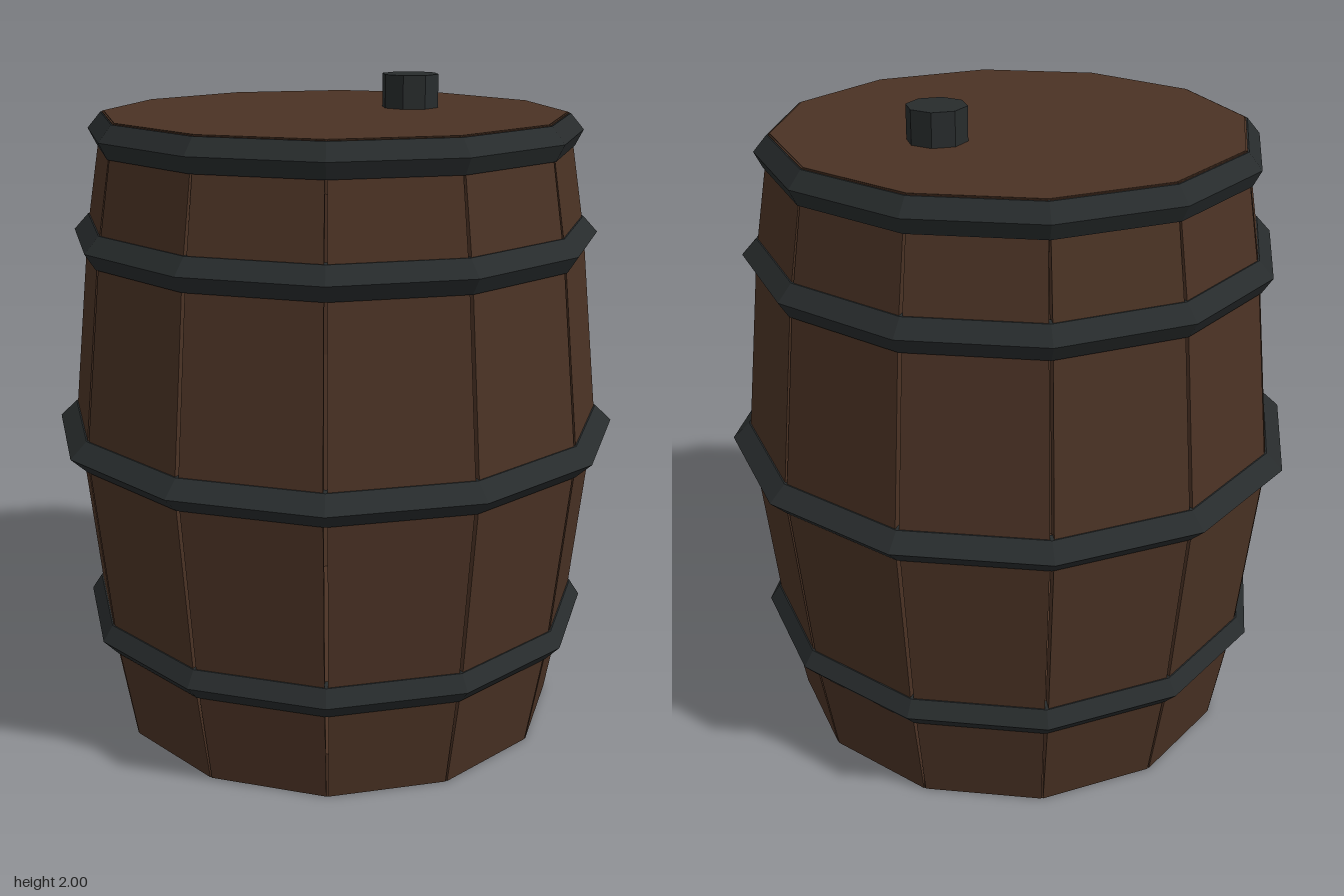
import * as THREE from 'three';

const SIDES = 12;
const HALF = Math.PI / SIDES;
// barrel profile: [height, corner radius, gap between staves]
const PROFILE = [[0.002, 0.7, 0.006], [0.34, 0.76, 0.011], [0.94, 0.823, 0.012], [1.54, 0.76, 0.011], [1.898, 0.7, 0.006]];
const THICKNESS = 0.05;

const wood = new THREE.MeshStandardMaterial({ color: 0x4a3224, flatShading: true });
const iron = new THREE.MeshStandardMaterial({ color: 0x272b2c, flatShading: true });

function radiusAt(y) {
  for (let i = 1; i < PROFILE.length; i++) {
    const [y0, r0] = PROFILE[i - 1], [y1, r1] = PROFILE[i];
    if (y <= y1) return r0 + (r1 - r0) * (y - y0) / (y1 - y0);
  }
  return PROFILE[PROFILE.length - 1][1];
}

// One flat-faced plank, bent to follow the profile and tapered towards its ends
function staveGeometry() {
  const rows = PROFILE.length - 1;
  const geo = new THREE.BoxGeometry(1, 1, 1, 1, rows, 1);
  const p = geo.attributes.position;
  for (let i = 0; i < p.count; i++) {
    const [y, r, gap] = PROFILE[Math.round((p.getY(i) + 0.5) * rows)];
    const radius = p.getZ(i) > 0 ? r : r - THICKNESS;
    const halfWidth = radius * Math.sin(HALF) - gap / 2;
    p.setXYZ(i, Math.sign(p.getX(i)) * halfWidth, y, radius * Math.cos(HALF));
  }
  geo.computeVertexNormals();
  return geo;
}

// Iron band with a ridge around its middle
function hoopGeometry(y, outer) {
  const h = 0.048;
  const low = radiusAt(y - h) + 0.004, high = radiusAt(y + h) + 0.004;
  const inner = Math.min(low, high) - 0.03;
  const section = [[inner, y - h], [low, y - h], [outer, y], [high, y + h], [inner, y + h], [inner, y - h]];
  return new THREE.LatheGeometry(section.map(([r, v]) => new THREE.Vector2(r, v)), SIDES);
}

export function createModel() {
  const group = new THREE.Group();
  const add = (name, geo, mat, x = 0, y = 0) => {
    const mesh = new THREE.Mesh(geo, mat);
    mesh.name = name;
    mesh.position.set(x, y, 0);
    group.add(mesh);
    return mesh;
  };

  // staves
  const stave = staveGeometry();
  for (let i = 0; i < SIDES; i++) add('stave', stave, wood).rotation.y = HALF * (2 * i + 1);

  // end discs
  const disc = new THREE.CylinderGeometry(0.695, 0.695, 0.14, SIDES);
  add('bottomDisc', disc, wood, 0, 0.07);
  add('lid', disc, wood, 0, 1.83);

  // hoops
  for (const [y, outer] of [[0.34, 0.8], [0.94, 0.873], [1.54, 0.8], [1.848, 0.745]]) {
    add('hoop', hoopGeometry(y, outer), iron);
  }

  // plug in the lid
  add('plug', new THREE.CylinderGeometry(0.088, 0.088, 0.14, 8), iron, 0.263, 1.93);
  return group;
}
